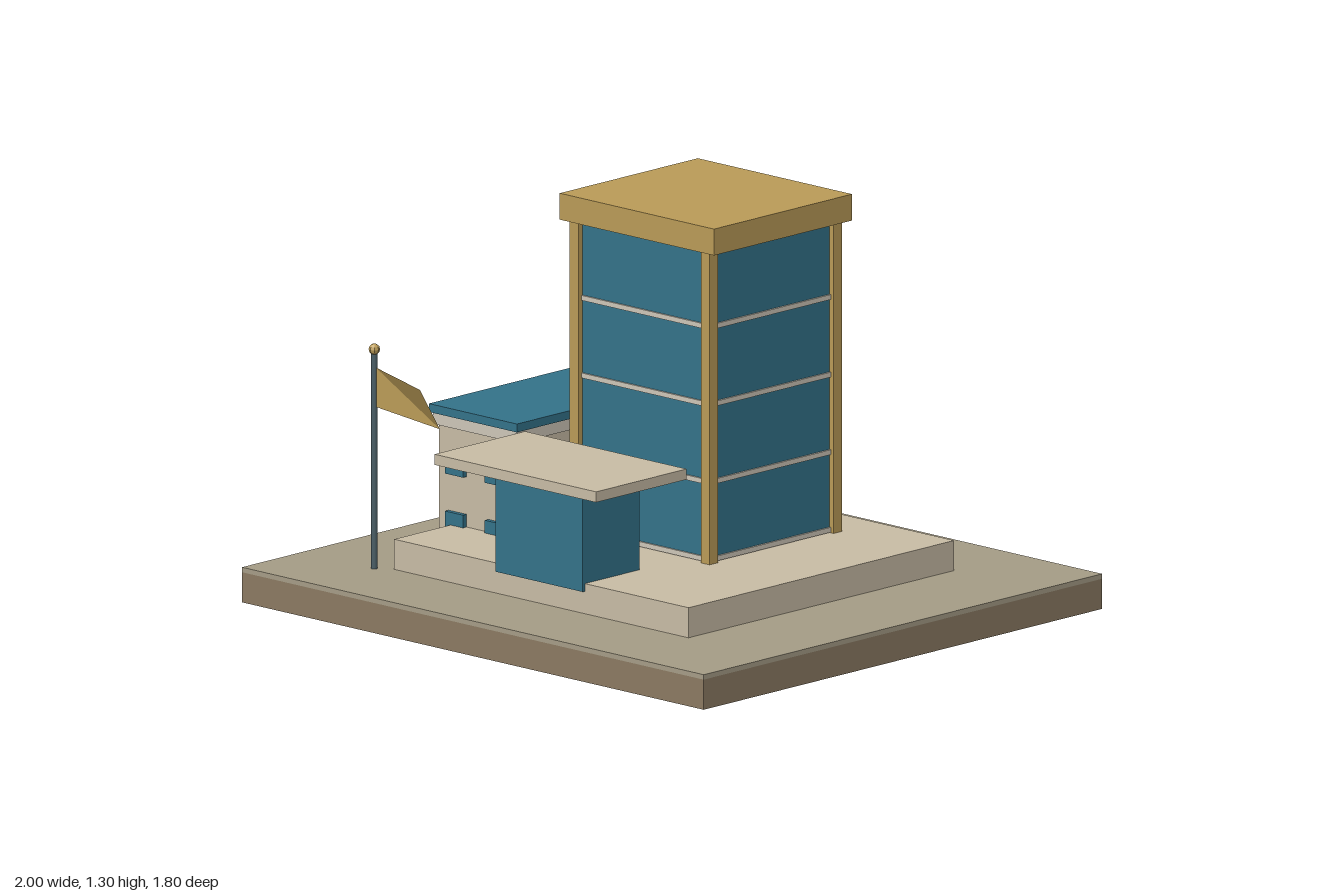
import * as THREE from 'three';

const mat = (color, extra = {}) => {
  const m = new THREE.MeshStandardMaterial(extra);
  m.color.set(color);
  return m;
};
const GLASS = mat(0x34738a), GOLD = mat(0xbb9c58), CREAM = mat(0xc9bda6), TRIM = mat(0xcfc8ba);
const EARTH = mat(0x8c7b63), PAVING = mat(0xa69d87), STEEL = mat(0x4b6068);

// Box given by its extents along each axis
function box(parent, name, material, [x0, x1], [y0, y1], [z0, z1]) {
  const mesh = new THREE.Mesh(new THREE.BoxGeometry(x1 - x0, y1 - y0, z1 - z0), material);
  mesh.position.set((x0 + x1) / 2, (y0 + y1) / 2, (z0 + z1) / 2);
  mesh.name = name;
  parent.add(mesh);
  return mesh;
}

function group(parent, name) {
  const g = new THREE.Group();
  g.name = name;
  parent.add(g);
  return g;
}

function buildTower(parent) {
  const tower = group(parent, 'tower');
  tower.position.z = -0.153;
  box(tower, 'towerGlass', GLASS, [-0.285, 0.285], [0.2, 1.22], [-0.28, 0.28]);
  // Floor bands, slightly proud of the glass
  for (let i = 0; i < 4; i++) {
    const y = 0.22 + i * 0.25;
    box(tower, 'floorBand', TRIM, [-0.291, 0.291], [y - 0.008, y + 0.008], [-0.286, 0.286]);
  }
  // Corner columns
  for (const sx of [-1, 1]) for (const sz of [-1, 1]) {
    const column = box(tower, 'cornerColumn', GOLD, [-0.019, 0.019], [0.2, 1.22], [-0.019, 0.019]);
    column.position.x = sx * 0.284;
    column.position.z = sz * 0.28;
  }
  box(tower, 'towerRoof', GOLD, [-0.334, 0.334], [1.215, 1.3], [-0.312, 0.312]);
}

function buildAnnex(parent) {
  const annex = group(parent, 'annex');
  box(annex, 'annexPlinth', EARTH, [-0.717, -0.35], [0.11, 0.172], [-0.445, 0.328]);
  box(annex, 'annexWalls', CREAM, [-0.703, -0.365], [0.17, 0.525], [-0.435, 0.32]);
  box(annex, 'annexCornice', TRIM, [-0.717, -0.352], [0.522, 0.562], [-0.447, 0.332]);
  box(annex, 'annexRoof', GLASS, [-0.726, -0.345], [0.56, 0.587], [-0.457, 0.341]);
  // Front windows, two by two
  for (const x of [-0.622, -0.45]) for (const y of [0.217, 0.406]) {
    box(annex, 'annexWindow', GLASS, [x - 0.039, x + 0.039], [y - 0.034, y + 0.034], [0.31, 0.336]);
  }
}

function buildEntrance(parent) {
  const entrance = group(parent, 'entrance');
  box(entrance, 'lobby', GLASS, [-0.19, 0.188], [0.185, 0.525], [0.342, 0.6]);
  box(entrance, 'canopy', CREAM, [-0.353, 0.347], [0.52, 0.554], [0.296, 0.705]);
}

function buildFlagpole(parent) {
  const flagpole = group(parent, 'flagpole');
  flagpole.position.set(-0.69, 0, 0.625);
  const pole = new THREE.Mesh(new THREE.CylinderGeometry(0.01, 0.01, 0.71, 8), STEEL);
  pole.position.y = 0.465;
  pole.name = 'pole';
  const finial = new THREE.Mesh(new THREE.SphereGeometry(0.018, 8, 6),
    mat(0xbb9c58, { flatShading: true }));
  finial.position.y = 0.82;
  finial.name = 'finial';

  // Flag as two folded triangles: top inner, bottom inner, bottom outer, top outer
  const geometry = new THREE.BufferGeometry();
  geometry.setAttribute('position', new THREE.Float32BufferAttribute([
    0.006, 0.762, 0, 0.006, 0.635, 0, 0.265, 0.604, -0.02, 0.232, 0.735, 0.036,
  ], 3));
  geometry.setIndex([0, 1, 2, 0, 2, 3]);
  geometry.computeVertexNormals();
  const flag = new THREE.Mesh(geometry, mat(0xbb9c58, { flatShading: true, side: THREE.DoubleSide }));
  flag.name = 'flag';
  flagpole.add(pole, finial, flag);
}

export function createModel() {
  const model = new THREE.Group();
  model.name = 'officeBuilding';
  // Ground slab with paving, and the raised podium
  box(model, 'groundSlab', EARTH, [-1, 1], [0, 0.097], [-0.9, 0.9]);
  box(model, 'paving', PAVING, [-1, 1], [0.097, 0.113], [-0.9, 0.9]);
  box(model, 'podium', CREAM, [-0.638, 0.637], [0.11, 0.21], [-0.61, 0.59]);
  buildTower(model);
  buildAnnex(model);
  buildEntrance(model);
  buildFlagpole(model);
  return model;
}
